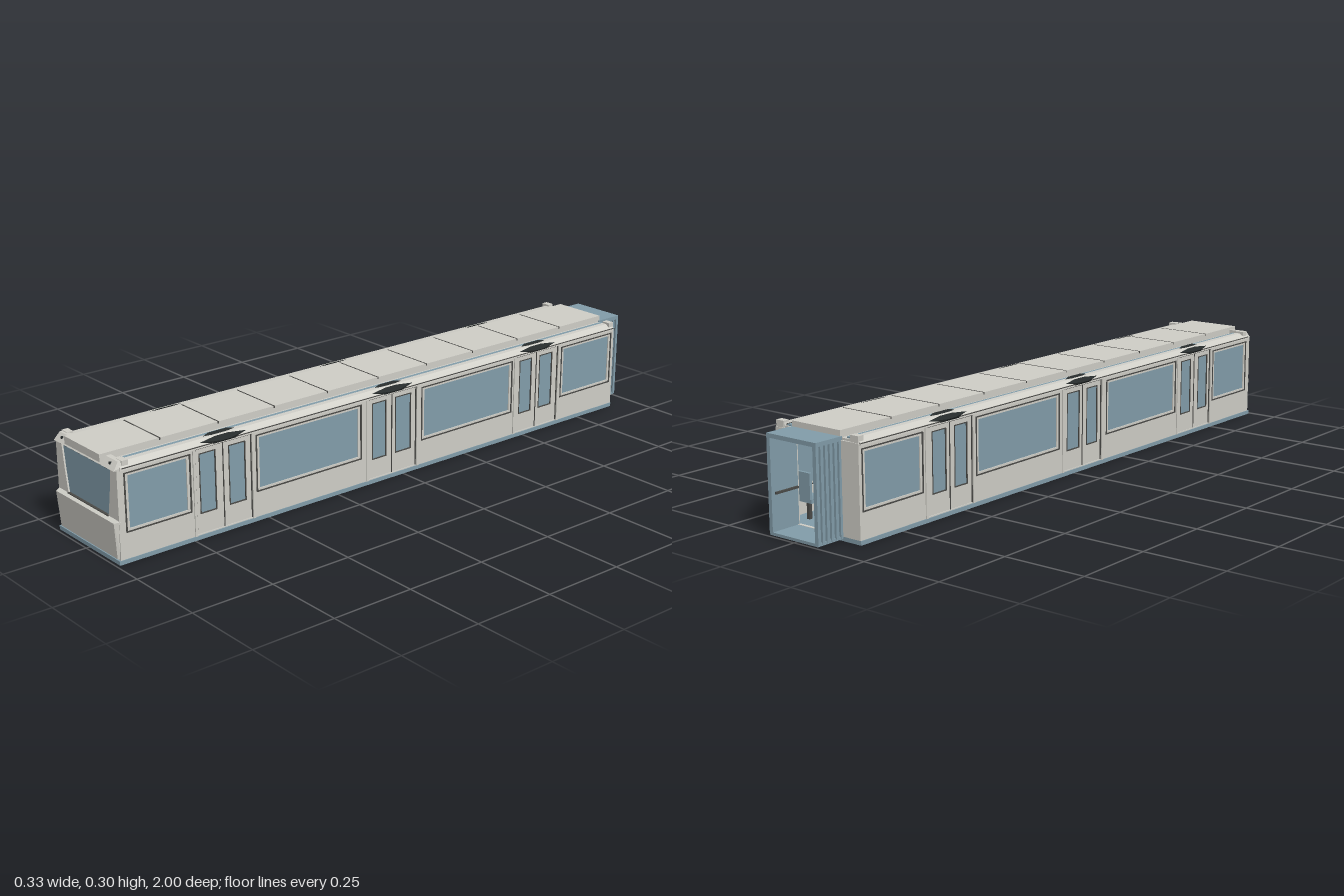
import * as THREE from 'three';
import { ConvexGeometry } from 'three/addons/geometries/ConvexGeometry.js';

const mat = (name, color) => {
  const m = new THREE.MeshStandardMaterial({ color });
  m.name = name;
  return m;
};

export function createModel() {
  const root = new THREE.Group();
  root.name = 'railCar';
  const panel = mat('light grey panel', 0xcfcec7);
  const glass = mat('blue grey glass', 0x829daa);
  const dark = mat('dark seam', 0x4a4a47);
  const black = mat('black fairing', 0x262b2b);

  const add = (name, geo, m) => {
    const mesh = new THREE.Mesh(geo, m);
    mesh.name = name;
    root.add(mesh);
    return mesh;
  };
  // Box given by its limits on each axis
  const box = (name, m, x0, x1, y0, y1, z0, z1) => {
    const g = new THREE.BoxGeometry(Math.abs(x1 - x0), y1 - y0, z1 - z0);
    g.translate((x0 + x1) / 2, (y0 + y1) / 2, (z0 + z1) / 2);
    return add(name, g, m);
  };
  const polygon = (pts) => new THREE.Shape(pts.map((p) => new THREE.Vector2(p[0], p[1])));
  const rect = (z0, z1, y0, y1) => [[z0, y0], [z1, y0], [z1, y1], [z0, y1]];
  const extrude = (shape, depth) => new THREE.ExtrudeGeometry(shape, { depth, bevelEnabled: false });
  // Plate drawn in (z, y), its outer face at x on side s
  const sidePlate = (name, m, outline, holes, s, x, t) => {
    const shape = polygon(outline);
    holes.forEach((h) => shape.holes.push(polygon(h)));
    const g = extrude(shape, t).rotateY(-Math.PI / 2);
    g.translate(s > 0 ? x : -x + t, 0, 0);
    add(name, g, m);
  };

  // Floor
  box('floorPlate', glass, -0.154, 0.154, 0, 0.012, -0.91, 0.99);

  // Side walls, windows and doors
  const windows = [[0.755, 0.965], [0.16, 0.54], [-0.45, -0.07], [-0.9, -0.665]];
  const doors = [
    { z0: 0.55, z1: 0.745, panes: [[0.672, 0.727], [0.573, 0.63]] },
    { z0: -0.055, z1: 0.14, panes: [[0.064, 0.119], [-0.032, 0.03]] },
    { z0: -0.655, z1: -0.46, panes: [[-0.537, -0.483], [-0.628, -0.57]] },
  ];
  for (const s of [1, -1]) {
    const holes = [
      ...windows.map(([a, b]) => rect(a, b, 0.086, 0.256)),
      ...doors.map((d) => rect(d.z0, d.z1, 0.015, 0.264)),
    ];
    sidePlate('sideWall', panel, rect(-0.91, 0.985, 0.012, 0.27), holes, s, 0.152, 0.01);
    for (const [a, b] of windows) {
      const edge = rect(a, b, 0.086, 0.256);
      const mid = rect(a + 0.005, b - 0.005, 0.09, 0.252);
      const inner = rect(a + 0.013, b - 0.013, 0.096, 0.246);
      sidePlate('windowGasket', dark, edge, [mid], s, 0.1525, 0.006);
      sidePlate('windowFrame', panel, mid, [inner], s, 0.151, 0.006);
      sidePlate('sideWindow', glass, inner, [], s, 0.148, 0.004);
    }
    for (const d of doors) {
      const paneRects = d.panes.map(([a, b]) => rect(a, b, 0.072, 0.248));
      sidePlate('doorLeaf', panel, rect(d.z0, d.z1, 0.015, 0.264), paneRects, s, 0.149, 0.006);
      paneRects.forEach((p, i) => {
        const [a, b] = d.panes[i];
        sidePlate('doorGlass', glass, p, [], s, 0.147, 0.003);
        sidePlate('doorGasket', dark, p, [rect(a + 0.003, b - 0.003, 0.075, 0.245)], s, 0.15, 0.003);
      });
      // Door posts and the gaps beside them
      for (const [z, dir] of [[d.z0, -1], [d.z1, 1]]) {
        box('doorPost', panel, s * 0.148, s * 0.155, 0.012, 0.266, z - 0.004, z + 0.004);
        const e = z - dir * 0.005;
        box('doorGap', dark, s * 0.146, s * 0.1515, 0.015, 0.264, e - 0.0015, e + 0.0015);
      }
      const c = (d.z0 + d.z1) / 2 + 0.001;
      box('doorSeam', dark, s * 0.146, s * 0.1505, 0.015, 0.264, c - 0.0015, c + 0.0015);
      box('doorHeader', dark, s * 0.146, s * 0.153, 0.262, 0.265, d.z0, d.z1);
    }
  }

  // Roof deck: a shallow cross-section with sloping shoulders
  const half = [[0.155, 0.264], [0.154, 0.272], [0.137, 0.283], [0.122, 0.284], [0.12, 0.276], [0.092, 0.276]];
  const deck = [...half, ...half.map(([x, y]) => [-x, y]).reverse()];
  add('roofDeck', extrude(polygon(deck), 1.88).translate(0, 0, -0.905), panel);
  box('roofPanel', panel, -0.088, 0.088, 0.274, 0.296, -0.91, 0.995);
  for (let i = 0; i < 9; i++) {
    const z = -0.72 + i * 0.191;
    box('roofSeam', dark, -0.0885, 0.0885, 0.29, 0.2965, z - 0.002, z + 0.002);
  }
  for (const s of [1, -1]) {
    box('roofChannel', glass, s * 0.102, s * 0.117, 0.274, 0.28, -0.9, 0.97);
    box('channelLip', dark, s * 0.117, s * 0.12, 0.274, 0.281, -0.9, 0.97);
    box('roofGutter', dark, s * 0.15, s * 0.1555, 0.2685, 0.271, -0.905, 0.97);
    for (const z of [-0.9, 0.955]) {
      box('roofEndBlock', panel, s * 0.122, s * 0.15, 0.27, 0.289, z - 0.008, z + 0.012);
    }
    // Pointed fairings over the doors
    for (const d of doors) {
      const pts = [];
      for (const k of [1, -1]) {
        for (const [x, y, z] of [[0.12, 0.287, 0.03], [0.164, 0.274, 0.012], [0.143, 0.277, 0.095], [0.15, 0.263, 0.05]]) {
          pts.push(new THREE.Vector3(s * x, y, k * z));
        }
      }
      add('doorFairing', new ConvexGeometry(pts).translate(0, 0, (d.z0 + d.z1) / 2 - 0.003), black);
    }
  }

  // Cab front: pillars round the windscreen, lower nose and brow
  const screen = [[-0.101, 0.122], [0.101, 0.122], [0.113, 0.19], [0.123, 0.264], [-0.123, 0.264], [-0.113, 0.19]];
  const cab = polygon(rect(-0.152, 0.152, 0.012, 0.27));
  cab.holes.push(polygon(screen));
  add('cabFrame', extrude(cab, 0.012).translate(0, 0, 0.973), panel);
  add('windscreen', extrude(polygon(screen), 0.005).translate(0, 0, 0.975), glass);
  add('nosePanel', new ConvexGeometry([
    [0.15, 0.012, 0.98], [0.153, 0.122, 0.98], [0.143, 0.015, 0.99],
    [0.146, 0.12, 0.998], [0.15, 0.125, 0.985],
  ].flatMap(([x, y, z]) => [new THREE.Vector3(x, y, z), new THREE.Vector3(-x, y, z)])), panel);
  box('noseSeam', dark, -0.103, 0.103, 0.1235, 0.126, 0.978, 0.988);
  add('cabBrow', new ConvexGeometry([
    [0.153, 0.264, 0.96], [0.15, 0.266, 0.992], [0.145, 0.288, 0.975], [0.145, 0.288, 0.96],
  ].flatMap(([x, y, z]) => [new THREE.Vector3(x, y, z), new THREE.Vector3(-x, y, z)])), panel);
  box('browSeam', dark, -0.125, 0.125, 0.2625, 0.2655, 0.978, 0.988);
  for (const s of [1, -1]) box('markerLamp', black, s * 0.117, s * 0.123, 0.276, 0.282, 0.978, 0.986);

  // Rear wall with its passage
  const rear = polygon(rect(-0.152, 0.152, 0.012, 0.27));
  rear.holes.push(polygon(rect(-0.08, 0.08, 0.014, 0.262)));
  add('rearWall', extrude(rear, 0.01).translate(0, 0, -0.91), panel);

  // Pleated gangway
  box('gangwayFloor', glass, -0.088, 0.088, 0.005, 0.013, -1, -0.905);
  box('gangwayRoof', glass, -0.09, 0.09, 0.268, 0.28, -1, -0.905);
  for (const s of [1, -1]) {
    box('gangwayWall', glass, s * 0.078, s * 0.083, 0.01, 0.27, -1, -0.905);
    for (let i = 0; i < 6; i++) {
      const z = -1 + i * 0.0165;
      box('gangwayPleat', glass, s * 0.082, s * 0.09, 0.008, 0.27, z, z + 0.009);
      box('pleatGap', dark, s * 0.082, s * 0.084, 0.012, 0.268, z + 0.009, z + 0.0125);
    }
    box('gangwayRail', dark, s * 0.07, s * 0.076, 0.115, 0.121, -0.99, -0.91);
  }

  // Seats along the inside
  for (const s of [1, -1]) {
    for (const [a, b] of windows) {
      for (let z = a + 0.05; z < b - 0.04; z += 0.09) {
        box('seatCushion', glass, s * 0.06, s * 0.13, 0.065, 0.077, z - 0.025, z + 0.025);
        box('seatBack', glass, s * 0.06, s * 0.13, 0.077, 0.15, z - 0.03, z - 0.022);
        box('seatLeg', dark, s * 0.09, s * 0.1, 0.012, 0.065, z - 0.005, z + 0.005);
      }
    }
  }
  return root;
}
